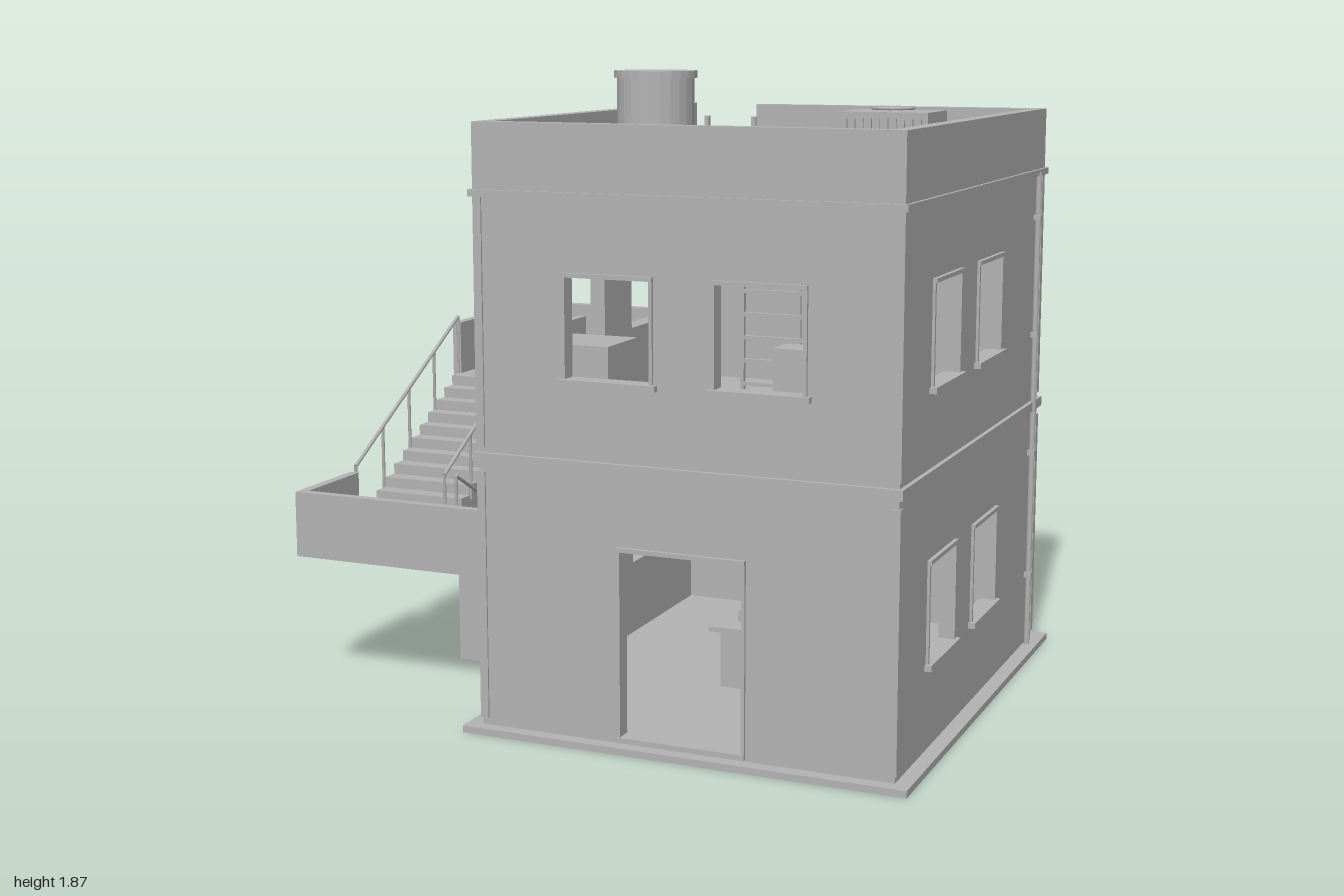
import * as THREE from 'three';

export function createModel() {
  const model = new THREE.Group();
  const grey = new THREE.MeshStandardMaterial({ color: 0xb3b3b3 });
  let target = model;

  const part = (name, fn) => {
    const g = new THREE.Group();
    g.name = name;
    model.add(g);
    target = g;
    fn();
    target = model;
  };
  const add = (name, geo) => {
    const m = new THREE.Mesh(geo, grey);
    m.name = name;
    target.add(m);
    return m;
  };
  // Box given by its limits on each axis
  const box = (name, x0, x1, y0, y1, z0, z1) => {
    const m = add(name, new THREE.BoxGeometry(x1 - x0, y1 - y0, z1 - z0));
    m.position.set((x0 + x1) / 2, (y0 + y1) / 2, (z0 + z1) / 2);
    return m;
  };
  // Round bar between two points
  const rod = (name, a, b, r = 0.006, sides = 8) => {
    const p = new THREE.Vector3(...a), q = new THREE.Vector3(...b), d = q.clone().sub(p);
    const m = add(name, new THREE.CylinderGeometry(r, r, d.length(), sides));
    m.position.copy(p).add(q).multiplyScalar(0.5);
    m.quaternion.setFromUnitVectors(new THREE.Vector3(0, 1, 0), d.normalize());
  };
  // Faceted upright cylinder
  const drum = (name, x, z, y0, y1, r, sides = 24) => {
    const geo = new THREE.CylinderGeometry(r, r, y1 - y0, sides).toNonIndexed();
    geo.computeVertexNormals();
    add(name, geo).position.set(x, (y0 + y1) / 2, z);
  };
  const poly = pts => pts.map(p => new THREE.Vector2(...p));
  const rect = (a, b, c, d) => poly([[a, c], [b, c], [b, d], [a, d]]);
  const slabShape = (pts, holes, depth) => {
    const s = new THREE.Shape(pts);
    holes.forEach(h => s.holes.push(new THREE.Path(rect(...h))));
    return new THREE.ExtrudeGeometry(s, { depth, bevelEnabled: false });
  };
  // Profile in (z, y), running from x0 to x1
  const sideways = (name, pts, holes, x0, x1) => {
    const m = add(name, slabShape(pts, holes, x1 - x0));
    m.rotation.y = -Math.PI / 2;
    m.position.x = x1;
  };

  const X0 = -0.275, X1 = 0.955, Z0 = -0.617, Z1 = 0.855, T = 0.04;
  const low = [0.27, 0.55], high = [1.04, 1.32];
  const door0 = [0.16, 0.52, 0.035, 0.57], door1 = [0.16, 0.52, 0.815, 1.36];
  const rows = (...spans) => [low, high].flatMap(y => spans.map(s => [...s, ...y]));
  const openings = {
    front: [door0, [0, 0.25, ...high], [0.44, 0.69, ...high]],
    back: [door0, door1],
    left: rows([-0.34, -0.09], [0.11, 0.36]),
    right: rows([-0.115, 0.135], [0.33, 0.58]),
  };

  // Base and floors
  box('baseSlab', -0.32, 1, 0, 0.02, -0.66, 0.895);
  box('groundFloor', -0.27, 0.95, 0.02, 0.035, -0.61, 0.85);
  box('upperFloor', -0.288, 0.968, 0.785, 0.815, -0.628, 0.868);
  const roof = add('roofSlab', slabShape(rect(-0.27, 0.95, -0.85, 0.61), [[0.02, 0.405, 0.155, 0.54]], 0.03));
  roof.rotation.x = -Math.PI / 2;
  roof.position.y = 1.52;

  // Walls with openings
  part('walls', () => {
    add('frontWall', slabShape(rect(X0, X1, 0.02, 1.55), openings.front, T)).position.z = Z1 - T;
    add('backWall', slabShape(rect(X0, X1, 0.02, 1.55), openings.back, T)).position.z = Z0;
    const span = rect(Z0 + T, Z1 - T, 0.02, 1.55);
    sideways('stairSideWall', span, openings.left, X0, X0 + T);
    sideways('pipeSideWall', span, openings.right, X1 - T, X1);
  });

  // Corner strips, one set per floor
  part('cornerStrips', () => {
    for (const [y0, y1] of [[0.04, 0.76], [0.83, 1.53]])
      for (const x of [-0.28, 0.935]) for (const z of [-0.622, 0.835])
        box('cornerStrip', x, x + 0.025, y0, y1, z, z + 0.025);
  });

  // Roof edge, with a gap at the back for the ladder
  part('parapet', () => {
    const ring = (name, x0, x1, z0, z1, y0, y1, t) => {
      box(name, x0, x1, y0, y1, z1 - t, z1);
      box(name, x0, x0 + t, y0, y1, z0, z1 - t);
      box(name, x1 - t, x1, y0, y1, z0, z1 - t);
    };
    ring('parapetWall', -0.28, 0.96, -0.62, 0.86, 1.55, 1.735, 0.047);
    box('parapetBack', 0, 0.913, 1.55, 1.735, -0.62, -0.575);
    ring('cornice', -0.29, 0.97, -0.63, 0.87, 1.53, 1.55, 0.04);
    box('cornice', -0.25, 0.93, 1.53, 1.55, -0.63, -0.59);
  });

  // Frames and sills
  part('openingTrim', () => {
    const face = {
      front: (n, a, b, c, d, i, o) => box(n, a, b, c, d, Z1 + i, Z1 + o),
      back: (n, a, b, c, d, i, o) => box(n, a, b, c, d, Z0 - o, Z0 - i),
      left: (n, a, b, c, d, i, o) => box(n, X0 - o, X0 - i, c, d, a, b),
      right: (n, a, b, c, d, i, o) => box(n, X1 + i, X1 + o, c, d, a, b),
    };
    for (const side in openings) for (const [a, b, c, d] of openings[side]) {
      const put = face[side], isDoor = b - a > 0.3;
      put('lintel', a - 0.01, b + 0.01, d, d + 0.012, -T, 0.012);
      put('jamb', a - 0.01, a, c, d, -T, 0.008);
      put('jamb', b, b + 0.01, c, d, -T, 0.008);
      if (!isDoor) put('sill', a - 0.022, b + 0.022, c - 0.017, c, -T, 0.02);
      else put('threshold', a - 0.01, b + 0.01, c - 0.01, c + 0.005, -T, 0.012);
    }
  });

  // Back gallery and upper landing
  part('gallery', () => {
    box('galleryFloor', -0.985, 0.53, 0.785, 0.815, -0.9, -0.6);
    box('galleryParapet', -0.985, 0.53, 0.815, 0.99, -0.9, -0.867);
    box('upperLanding', -1, -0.645, 0.785, 0.815, -0.6, -0.29);
    box('landingWall', -1, -0.97, 0.785, 0.99, -0.6, -0.29);
    box('landingWall', -0.675, -0.645, 0.785, 0.99, -0.6, -0.29);
    for (const x of [-0.945, -0.26]) box('galleryPost', x, x + 0.02, 0, 0.785, -0.85, -0.83);
  });

  // Outside stairs with a landing halfway
  part('outsideStairs', () => {
    const N = 12, ZA = -0.29, ZB = 0.38, run = (ZB - ZA) / N;
    const flight = (name, x0, x1, zs, dir, base, start, rise) => {
      const pts = [[zs, base]];
      for (let i = 0; i < N; i++) {
        const y = start + rise * (i + 1) / N;
        pts.push([zs + dir * run * i, y], [zs + dir * run * (i + 1), y]);
      }
      pts.push([zs + dir * run * N, base]);
      sideways(name, poly(pts), [], x0, x1);
    };
    flight('lowerFlight', -0.615, -0.31, ZA, 1, 0.035, 0.035, 0.385);
    flight('upperFlight', -0.975, -0.665, ZB, -1, 0.4, 0.42, 0.395);
    box('halfLanding', -1, -0.3, 0.4, 0.42, ZB, 0.69);
    box('halfLandingFront', -1, -0.3, 0.42, 0.6, 0.66, 0.69);
    box('halfLandingSide', -1, -0.97, 0.42, 0.6, ZB, 0.66);
    const railing = (x, yA, yB) => {
      rod('handrail', [x, yA + 0.2, ZA], [x, yB + 0.2, ZB]);
      for (let i = 0; i <= 4; i++) {
        const t = i / 4, y = yA + (yB - yA) * t, z = ZA + (ZB - ZA) * t;
        rod('railPost', [x, y - 0.01, z], [x, y + 0.2, z], 0.005, 6);
      }
    };
    for (const x of [-0.619, -0.306]) railing(x, 0.04, 0.42);
    for (const x of [-0.98, -0.66]) railing(x, 0.81, 0.42);
  });

  // Ladder up the back wall
  part('backLadder', () => {
    for (const x of [-0.215, -0.045]) {
      box('ladderRail', x - 0.008, x + 0.008, 0.02, 1.69, -0.678, -0.662);
      for (const y of [0.07, 0.29, 0.72, 0.93, 1.15, 1.37])
        box('ladderBracket', x - 0.005, x + 0.005, y - 0.005, y + 0.005, -0.665, Z0);
    }
    for (let y = 0.07; y < 1.68; y += 0.06) rod('ladderRung', [-0.215, y, -0.67], [-0.045, y, -0.67], 0.006, 6);
  });

  // Inner ladder to the roof hatch
  part('hatchLadder', () => {
    for (const x of [0.11, 0.315]) box('hatchRail', x - 0.006, x + 0.006, 0.815, 1.56, -0.19, -0.175);
    for (let y = 0.87; y < 1.56; y += 0.074) box('hatchRung', 0.11, 0.315, y - 0.006, y + 0.006, -0.19, -0.175);
  });

  // Drain pipe
  part('drainPipe', () => {
    rod('pipe', [0.967, 0.02, -0.52], [0.967, 1.54, -0.52], 0.009, 12);
    for (const y of [0.25, 0.65, 1.03, 1.4]) box('pipeClamp', 0.95, 0.978, y - 0.008, y + 0.008, -0.532, -0.508);
  });

  // Water tank
  part('waterTank', () => {
    drum('tankBody', 0.1, 0.47, 1.55, 1.85, 0.11);
    drum('tankLid', 0.1, 0.47, 1.848, 1.868, 0.118);
  });

  // Cooling unit with fan and side fins
  part('coolingUnit', () => {
    box('unitBody', 0.43, 0.715, 1.565, 1.735, -0.35, -0.145);
    for (const x of [0.45, 0.675]) box('unitFoot', x, x + 0.02, 1.55, 1.565, -0.34, -0.155);
    for (let i = 0; i < 10; i++) for (const z of [-0.358, -0.145])
      box('unitFin', 0.452 + i * 0.026, 0.462 + i * 0.026, 1.59, 1.715, z, z + 0.008);
    for (const r of [0.063, 0.042, 0.022]) {
      const ring = add('fanRing', new THREE.TorusGeometry(r, 0.005, 6, 28));
      ring.rotation.x = Math.PI / 2;
      ring.position.set(0.575, 1.744, -0.245);
    }
    for (let i = 0; i < 4; i++) {
      const bar = box('fanBar', 0.512, 0.638, 1.738, 1.744, -0.248, -0.242);
      bar.rotation.y = i * Math.PI / 4;
    }
  });

  // Furniture on both floors
  part('furniture', () => {
    for (const y of [0.035, 0.815]) {
      box('sofaSeat', 0.46, 0.88, y, y + 0.13, 0.22, 0.5);
      box('sofaBack', 0.5, 0.88, y + 0.13, y + 0.3, 0.48, 0.58);
    }
    box('tableBase', 0.24, 0.355, 0.035, 0.215, 0.2, 0.32);
    box('tableTop', 0.22, 0.375, 0.215, 0.23, 0.16, 0.36);
    box('tableBox', 0.28, 0.31, 0.23, 0.265, 0.24, 0.28);
    box('wardrobe', -0.2, 0.03, 0.815, 1.1, 0.45, 0.65);
  });

  return model;
}
